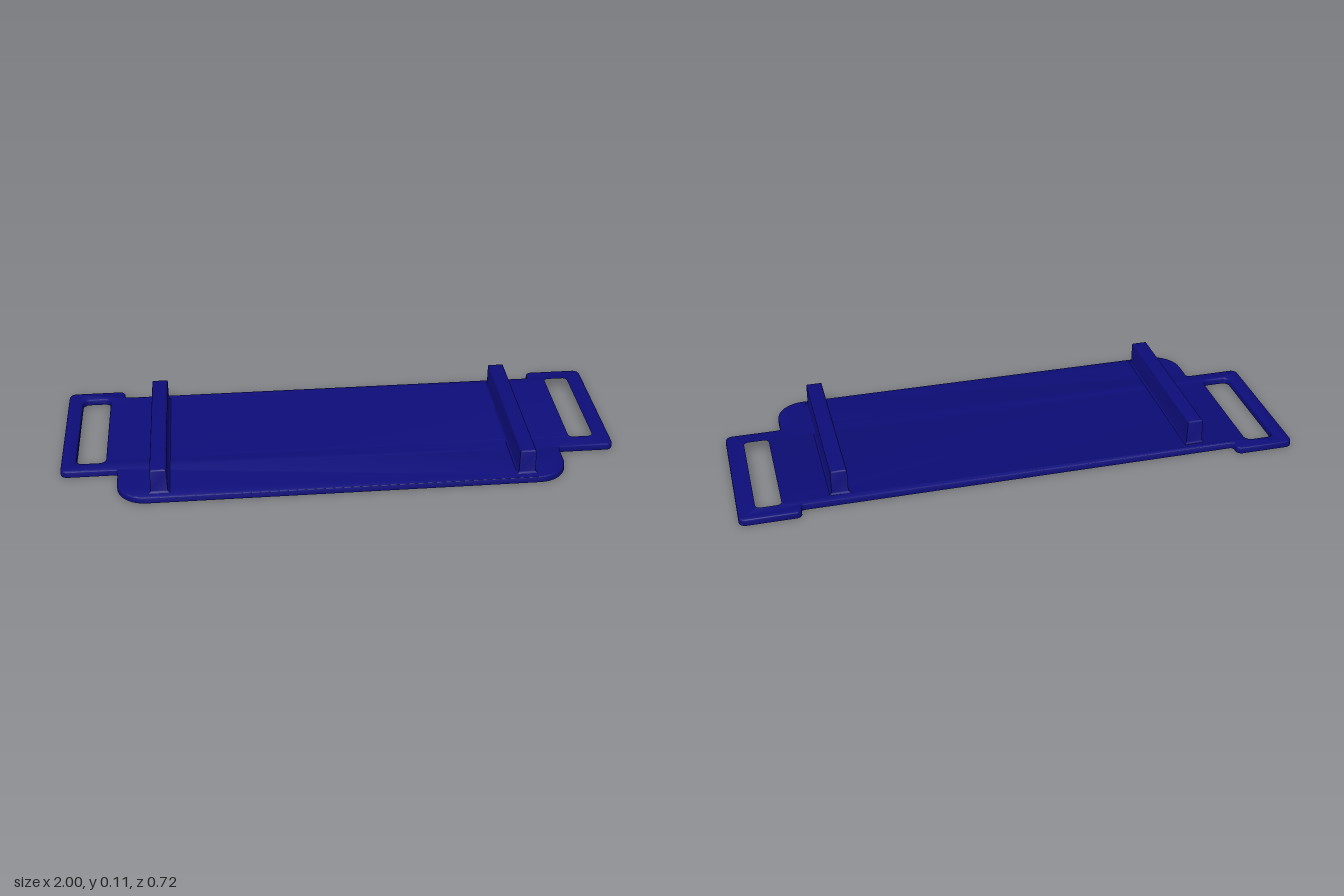
import * as THREE from 'three';
import { toCreasedNormals } from 'three/addons/utils/BufferGeometryUtils.js';

const THICK = 0.024, EDGE = 0.008;

// Closed path through [x, z, radius] corners, each one rounded
function roundedPath(path, corners) {
  const n = corners.length;
  const pts = corners.map(([x, z]) => new THREE.Vector2(x, -z));
  corners.forEach(([, , r], i) => {
    const p = pts[i];
    const toward = (q, d) => p.clone().add(q.clone().sub(p).setLength(d));
    const prev = pts[(i + n - 1) % n], next = pts[(i + 1) % n];
    const a = toward(prev, r), b = toward(next, r);
    const c1 = toward(prev, r * 0.448), c2 = toward(next, r * 0.448);
    if (i === 0) path.moveTo(a.x, a.y); else path.lineTo(a.x, a.y);
    path.bezierCurveTo(c1.x, c1.y, c2.x, c2.y, b.x, b.y);
  });
  path.closePath();
  return path;
}

// Flat plate with side loops: rounded top edge, flat underside
function plateGeometry() {
  const half = [
    [0.785, -0.32, 0.012], [0.785, -0.363, 0.02], [0.998, -0.363, 0.025],
    [0.998, 0.178, 0.025], [0.795, 0.178, 0.012], [0.795, 0.361, 0.105],
  ];
  const mirror = half.map(([x, z, r]) => [-x, z, r]).reverse();
  const shape = roundedPath(new THREE.Shape(), [...half, ...mirror]);
  for (const s of [-1, 1]) {
    shape.holes.push(roundedPath(new THREE.Path(), [
      [s * 0.839, -0.311, 0.024], [s * 0.944, -0.311, 0.024],
      [s * 0.944, 0.125, 0.024], [s * 0.839, 0.125, 0.024],
    ]));
  }
  const geo = new THREE.ExtrudeGeometry(shape, {
    depth: THICK - EDGE, bevelThickness: EDGE, bevelSize: EDGE,
    bevelOffset: -EDGE, bevelSegments: 4, curveSegments: 10,
  });
  geo.rotateX(-Math.PI / 2);
  const p = geo.attributes.position;
  for (let i = 0; i < p.count; i++) p.setY(i, Math.max(0, p.getY(i)));
  geo.scale(1 / 0.998, 1, 1);
  return toCreasedNormals(geo, 0.6);
}

// Upright rail: flared fillet at the foot, softened top edge
function railGeometry() {
  const w = 0.058, d = 0.615, top = 0.114, r = 0.012, t = 0.008;
  const levels = [];
  for (let i = 0; i <= 4; i++) {
    const a = (i / 4) * Math.PI / 2;
    levels.push([THICK - 0.001 + r * (1 - Math.cos(a)), r * (1 - Math.sin(a))]);
  }
  for (let i = 0; i <= 4; i++) {
    const a = (i / 4) * Math.PI / 2;
    levels.push([top - t + t * Math.sin(a), -t * (1 - Math.cos(a))]);
  }
  const n = levels.length - 1;
  const geo = new THREE.BoxGeometry(w, 1, d, 1, n, 1);
  const p = geo.attributes.position;
  for (let i = 0; i < p.count; i++) {
    const [y, off] = levels[Math.round((p.getY(i) + 0.5) * n)];
    p.setXYZ(i, p.getX(i) + Math.sign(p.getX(i)) * off, y,
      p.getZ(i) + Math.sign(p.getZ(i)) * off);
  }
  return toCreasedNormals(geo, 0.6);
}

export function createModel() {
  const group = new THREE.Group();
  group.name = 'strapPlate';
  const material = new THREE.MeshStandardMaterial({ color: 0x0d0d7a });

  const plate = new THREE.Mesh(plateGeometry(), material);
  plate.name = 'plateWithStrapLoops';
  group.add(plate);

  const railGeo = railGeometry();
  for (const [name, s] of [['leftRail', 1], ['rightRail', -1]]) {
    const rail = new THREE.Mesh(railGeo, material);
    rail.name = name;
    rail.position.set(s * 0.647, 0, 0.023);
    group.add(rail);
  }
  return group;
}
